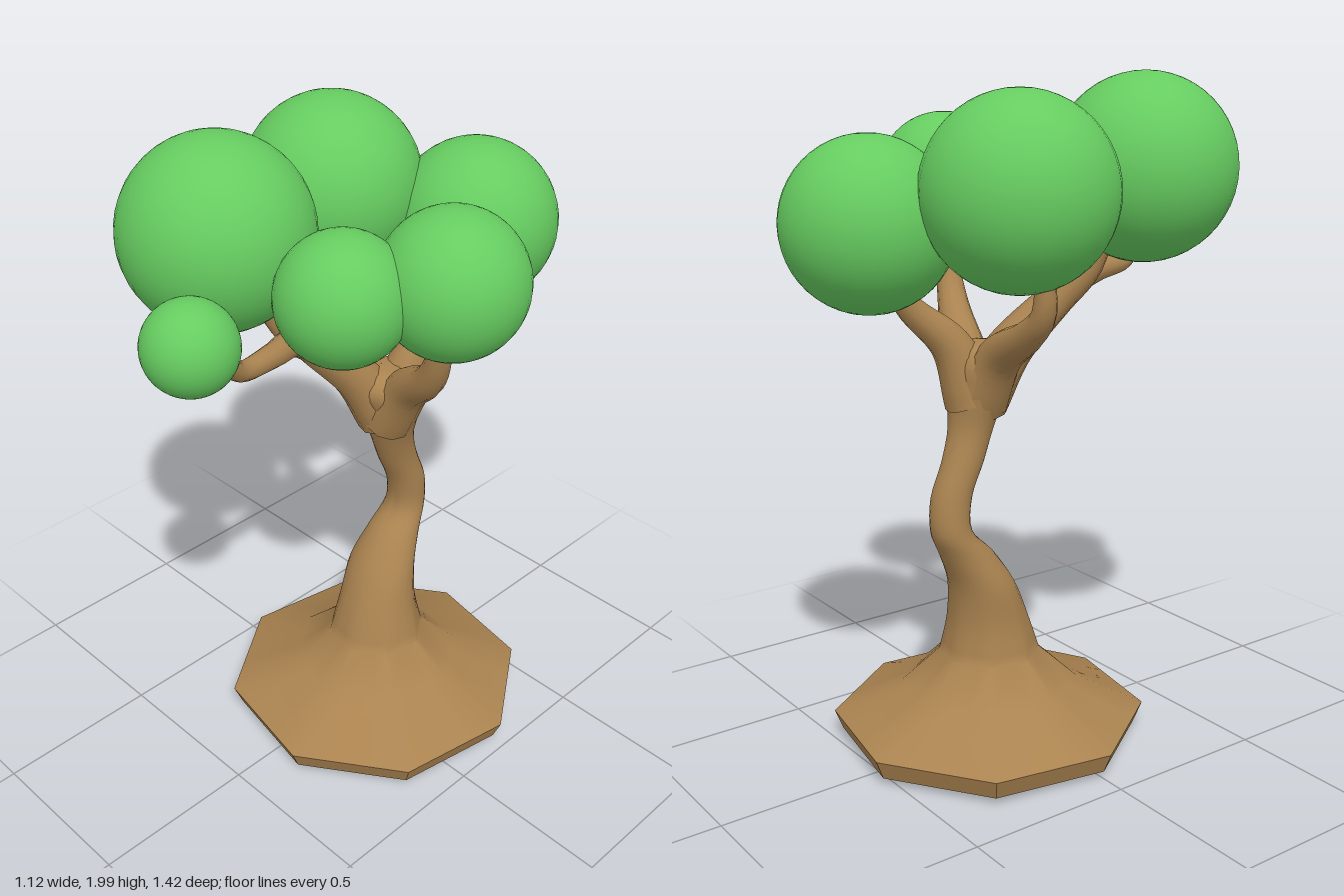
import * as THREE from 'three';
import { toCreasedNormals } from 'three/addons/utils/BufferGeometryUtils.js';

const V = (x, y, z) => new THREE.Vector3(x, y, z);

// Skin a list of closed rings (each an array of points) running along the part
function loft(rings) {
  const n = rings[0].length, index = [];
  for (let i = 0; i < rings.length - 1; i++) {
    for (let j = 0; j < n; j++) {
      const a = i * n + j, b = i * n + (j + 1) % n;
      index.push(a, a + n, b, b, a + n, b + n);
    }
  }
  const geo = new THREE.BufferGeometry().setFromPoints(rings.flat());
  geo.setIndex(index);
  return toCreasedNormals(geo, 0.7);
}

// Horizontal trunk ring, blended from round (oct = 0) to octagonal (oct = 1)
function trunkRing(c, rx, rz, oct) {
  const sides = 24, start = -12 * Math.PI / 180, ring = [];
  for (let j = 0; j < sides; j++) {
    const a = j / sides * Math.PI * 2;
    const flat = Math.cos(Math.PI / 8) / Math.cos(a % (Math.PI / 4) - Math.PI / 8);
    const k = 1 + (flat - 1) * oct;
    ring.push(V(c.x + rx * k * Math.cos(a + start), c.y, c.z + rz * k * Math.sin(a + start)));
  }
  return ring;
}

// Tapering limb along a curve through the given points
function limb(points, r0, r1) {
  const curve = new THREE.CatmullRomCurve3(points.map(p => V(...p)));
  const steps = 20, sides = 12, rings = [];
  const { normals, binormals } = curve.computeFrenetFrames(steps, false);
  for (let i = 0; i <= steps; i++) {
    const t = i / steps, p = curve.getPointAt(t);
    const r = r1 + (r0 - r1) * Math.pow(1 - t, 1.4);
    rings.push(Array.from({ length: sides }, (_, j) => {
      const a = j / sides * Math.PI * 2;
      return p.clone().addScaledVector(normals[i], r * Math.cos(a)).addScaledVector(binormals[i], -r * Math.sin(a));
    }));
  }
  return loft(rings);
}

export function createModel() {
  const tree = new THREE.Group();
  tree.name = 'tree';
  const bark = new THREE.MeshStandardMaterial({ color: 0xaa8350 });
  const leaf = new THREE.MeshStandardMaterial({ color: 0x66cc60 });
  const add = (name, geo, mat) => {
    const mesh = new THREE.Mesh(geo, mat);
    mesh.name = name;
    tree.add(mesh);
    return mesh;
  };

  // Octagonal foot: y, radius
  const rings = [[0.01, 0.001], [0.03, 0.45], [0.09, 0.475], [0.19, 0.265]]
    .map(([y, r]) => trunkRing(V(0.02, y, -0.09), r, r, 1));

  // Bent trunk: y, centre x, centre z, radius x, radius z, octagon blend
  const sections = [
    [0.29, 0.02, -0.09, 0.155, 0.15, 0.8],
    [0.40, 0.015, -0.1, 0.128, 0.12, 0.4],
    [0.52, 0.005, -0.13, 0.11, 0.095, 0],
    [0.62, 0, -0.185, 0.082, 0.08, 0],
    [0.70, -0.005, -0.24, 0.064, 0.06, 0],
    [0.80, 0, -0.235, 0.06, 0.06, 0],
    [0.90, 0, -0.195, 0.06, 0.062, 0],
    [1.00, 0.007, -0.16, 0.07, 0.065, 0],
    [1.10, 0.01, -0.14, 0.1, 0.08, 0],
    [1.19, 0, -0.12, 0.115, 0.095, 0],
    [1.24, 0, -0.12, 0.07, 0.06, 0],
    [1.25, 0, -0.12, 0.001, 0.001, 0],
  ];
  const path = new THREE.CatmullRomCurve3(sections.map(s => V(s[1], s[0], s[2])), false, 'catmullrom');
  const size = new THREE.CatmullRomCurve3(sections.map(s => V(s[3], s[4], s[5])), false, 'catmullrom');
  for (let i = 0; i <= 44; i++) {
    const s = size.getPoint(i / 44);
    rings.push(trunkRing(path.getPoint(i / 44), s.x, s.y, Math.max(0, s.z)));
  }
  add('trunk', loft(rings), bark);

  // Branches: points, start radius, end radius
  const branches = {
    rightBranch: [[[0, 1.08, -0.13], [-0.1, 1.22, -0.13], [-0.27, 1.31, -0.16], [-0.35, 1.38, -0.17], [-0.36, 1.55, -0.18]], 0.085, 0.025],
    leftBranch: [[[0.02, 1.08, -0.13], [0.12, 1.22, -0.11], [0.24, 1.32, -0.06], [0.29, 1.41, -0.04], [0.32, 1.58, -0.02]], 0.085, 0.027],
    backBranch: [[[0.01, 1.08, -0.15], [0.03, 1.24, -0.21], [0.06, 1.36, -0.33], [0.06, 1.5, -0.42]], 0.085, 0.027],
    frontBranch: [[[0, 1.08, -0.13], [-0.03, 1.22, -0.05], [-0.08, 1.36, 0.08], [-0.13, 1.45, 0.15], [-0.16, 1.58, 0.19]], 0.085, 0.04],
    frontTwig: [[[-0.07, 1.34, 0.06], [-0.07, 1.4, 0.15], [-0.03, 1.42, 0.27], [0, 1.44, 0.41], [0.02, 1.5, 0.47], [0.02, 1.56, 0.52]], 0.05, 0.023],
    sideTwig: [[[-0.07, 1.35, 0.07], [-0.01, 1.41, 0.13], [0.08, 1.45, 0.17], [0.17, 1.58, 0.21]], 0.045, 0.024],
  };
  for (const [name, args] of Object.entries(branches)) add(name, limb(...args), bark);

  // Leaf balls: x, y, z, radius
  const balls = [
    [0.03, 1.6, -0.47, 0.242], [-0.293, 1.695, -0.207, 0.266], [-0.205, 1.732, 0.297, 0.268],
    [0.355, 1.675, -0.01, 0.203], [0.195, 1.658, 0.225, 0.18], [0.022, 1.59, 0.582, 0.128],
  ];
  balls.forEach(([x, y, z, r], i) => {
    add('leafBall' + (i + 1), new THREE.SphereGeometry(r, 36, 24), leaf).position.set(x, y, z);
  });
  return tree;
}
